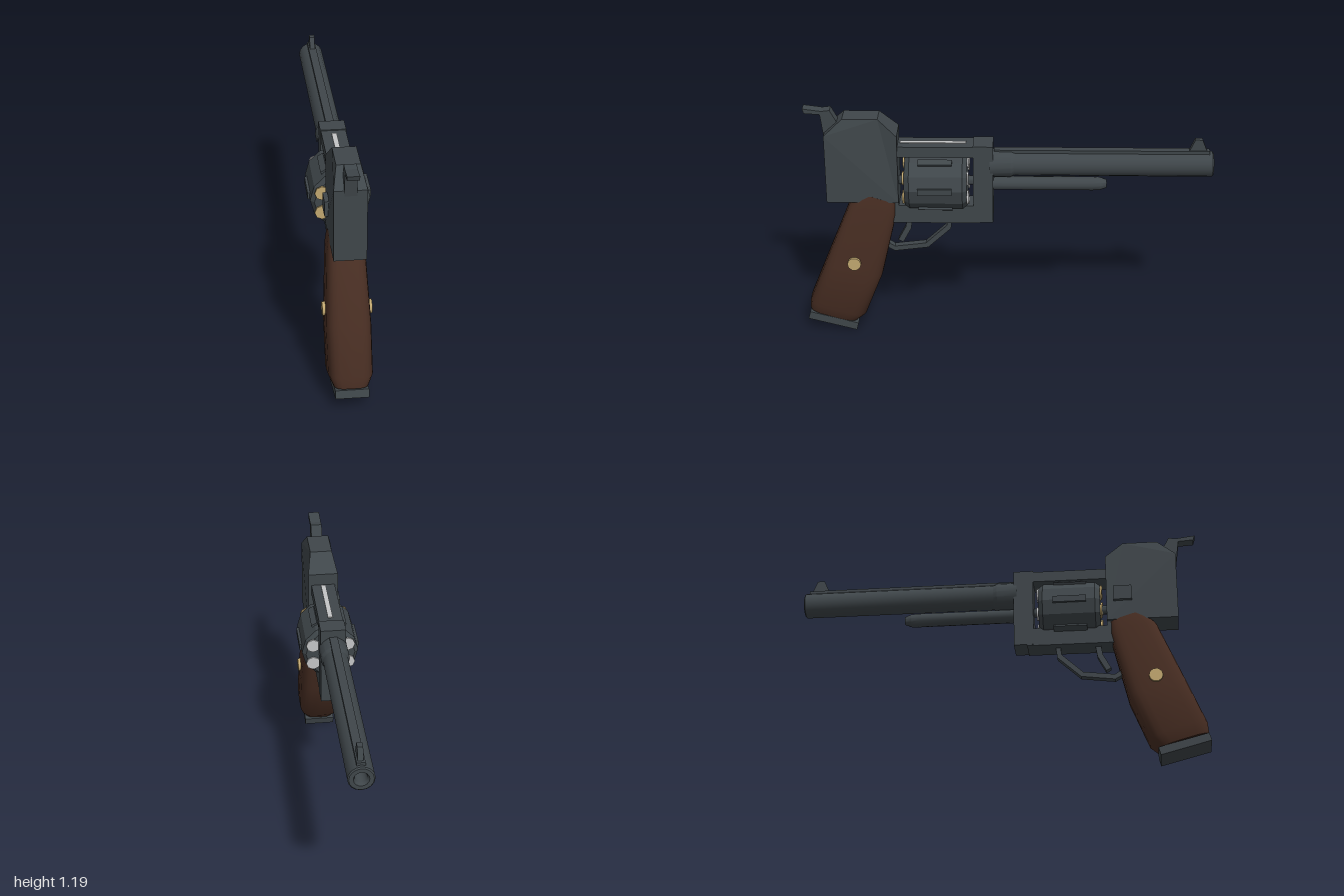
import * as THREE from 'three';
import { toCreasedNormals } from 'three/addons/utils/BufferGeometryUtils.js';

const material = (name, color) => {
  const m = new THREE.MeshStandardMaterial({ color });
  m.name = name;
  return m;
};

export function createModel() {
  const steel = material('gunmetal', 0x3f464a);
  const wood = material('walnut', 0x472d22);
  const brass = material('brass', 0xc2a870);
  const silver = material('silver', 0xc4c5c6);
  const model = new THREE.Group();
  model.name = 'revolver';

  const add = (name, geometry, mat = steel, parent = model) => {
    const mesh = new THREE.Mesh(geometry, mat);
    mesh.name = name;
    parent.add(mesh);
    return mesh;
  };
  const box = (name, x, y, z, w, h, d, mat) =>
    add(name, new THREE.BoxGeometry(w, h, d).translate(x, y, z), mat);

  // Side profile of [z, y] points, extruded evenly across x
  const plate = (points, width) => {
    const shape = new THREE.Shape(points.map(([z, y]) => new THREE.Vector2(z, y)));
    return new THREE.ExtrudeGeometry(shape, { depth: width, bevelEnabled: false })
      .translate(0, 0, -width / 2).rotateY(-Math.PI / 2);
  };
  // Turned part along z from [radius, z] points with rising z
  const turned = (points, sides, crease) => toCreasedNormals(
    new THREE.LatheGeometry(points.map(([r, z]) => new THREE.Vector2(r, z)), sides)
      .rotateX(Math.PI / 2), crease);

  // Rear frame block, narrowed at the top
  const rear = plate([[0.525, 0.72], [0.875, 0.72], [0.875, 1.07], [0.785, 1.152],
    [0.615, 1.152], [0.525, 1.07]], 0.15);
  const p = rear.attributes.position;
  for (let i = 0; i < p.count; i++) if (p.getY(i) > 1.1) p.setX(i, p.getX(i) * 0.73);
  rear.computeVertexNormals();
  add('rearFrame', rear);

  // Frame around the cylinder
  box('topStrap', 0, 0.983, 0.34, 0.118, 0.054, 0.4);
  box('frontFrame', 0, 0.812, 0.113, 0.124, 0.405, 0.097);
  add('lowerFrame', plate([[0.13, 0.604], [0.56, 0.604], [0.56, 0.72], [0.525, 0.72],
    [0.525, 0.697], [0.13, 0.697]], 0.118));
  box('sightStrip', 0, 1.011, 0.355, 0.024, 0.006, 0.32, silver);
  box('loadingGate', -0.081, 0.86, 0.605, 0.022, 0.075, 0.09);

  // Hammer
  add('hammer', plate([[0.875, 1.045], [0.9, 1.08], [0.862, 1.09], [0.893, 1.163],
    [0.968, 1.168], [0.976, 1.192], [0.885, 1.18]].slice(3).concat(
    [[0.845, 1.185], [0.8, 1.1], [0.8, 1.04], [0.878, 1.045]]).reverse(), 0.056))
    .geometry.computeVertexNormals();

  // Cylinder with raised bars, cartridges and centre pin
  const drum = new THREE.Group();
  drum.name = 'cylinder';
  drum.position.y = 0.81;
  model.add(drum);
  add('drum', turned([[0, 0.19], [0.122, 0.19], [0.14, 0.212], [0.14, 0.47],
    [0.122, 0.494], [0, 0.494]], 12, 0.4), steel, drum);
  add('centrePin', turned([[0, 0.06], [0.022, 0.06], [0.022, 0.53], [0, 0.53]], 10, 0.7), steel, drum);
  for (let i = 0; i < 6; i++) {
    const bar = new THREE.BoxGeometry(0.022, 0.032, 0.165)
      .translate(0.137, 0, 0.345).rotateZ(i * Math.PI / 3);
    add('drumBar', bar, steel, drum);
    const a = (i + 0.5) * Math.PI / 3;
    const disc = (z) => new THREE.CylinderGeometry(0.035, 0.035, 0.009, 8)
      .rotateX(Math.PI / 2).translate(0.1 * Math.cos(a), 0.1 * Math.sin(a), z);
    add('cartridgeRim', disc(0.498), brass, drum);
    add('bulletTip', disc(0.187), silver, drum);
  }

  // Barrel with an open bore, sleeve, rib and front sight
  add('barrel', turned([[0, -0.85], [0.028, -0.85], [0.028, -0.985], [0.036, -1],
    [0.056, -1], [0.062, -0.994], [0.062, 0.08]], 16, 0.5)).position.y = 0.906;
  add('barrelSleeve', turned([[0.06, -0.045], [0.07, -0.02], [0.07, 0.08]], 16, 0.5)).position.y = 0.906;
  box('barrelRib', 0, 0.967, -0.46, 0.04, 0.026, 1.04);
  add('frontSight', plate([[-0.88, 0.975], [-0.908, 1.037], [-0.943, 1.037],
    [-0.968, 0.975]].reverse(), 0.026));

  // Ejector rod housing
  add('ejectorRod', turned([[0, -0.488], [0.02, -0.488], [0.032, -0.455],
    [0.034, -0.42], [0.034, 0.08]], 12, 0.55)).position.y = 0.797;

  // Bent bars made of straight pieces through [z, y] points
  const bentBar = (name, points, width, thick) => {
    const n = points.length;
    const sides = [1, -1].map((s) => points.map(([z, y], i) => {
      const [z0, y0] = points[Math.max(i - 1, 0)];
      const [z1, y1] = points[Math.min(i + 1, n - 1)];
      const l = Math.hypot(z1 - z0, y1 - y0);
      return [z - s * (y1 - y0) / l * thick / 2, y + s * (z1 - z0) / l * thick / 2];
    }));
    add(name, plate([...sides[0], ...sides[1].reverse()], width));
  };
  bentBar('triggerGuard', [[0.28, 0.61], [0.285, 0.56], [0.395, 0.458], [0.555, 0.438],
    [0.6, 0.465]], 0.036, 0.026);
  bentBar('trigger', [[0.475, 0.62], [0.485, 0.555], [0.525, 0.48]], 0.034, 0.028);

  // Grip lofted through rounded sections: back z, y, front z, y, half width
  const sections = [
    [0.708, 0.767, 0.535, 0.712, 0.076],
    [0.768, 0.7, 0.538, 0.65, 0.088],
    [0.9, 0.38, 0.618, 0.31, 0.105],
    [0.988, 0.165, 0.708, 0.085, 0.104],
    [0.992, 0.11, 0.755, 0.042, 0.082],
  ];
  const N = 24;
  const pos = [];
  const index = [];
  const soft = (v) => Math.sign(v) * Math.abs(v) ** 0.5;
  sections.forEach(([bz, by, fz, fy, w], s) => {
    for (let i = 0; i < N; i++) {
      const a = i / N * Math.PI * 2;
      const t = soft(Math.cos(a)) / 2 + 0.5;
      pos.push(w * soft(Math.sin(a)), fy + (by - fy) * t, fz + (bz - fz) * t);
      const j = (i + 1) % N;
      if (s > 0) {
        const u = (s - 1) * N, d = s * N;
        index.push(u + i, d + i, u + j, u + j, d + i, d + j);
      }
    }
  });
  const last = (sections.length - 1) * N;
  for (let i = 1; i < N - 1; i++) {
    index.push(0, i, i + 1, last, last + i + 1, last + i);
  }
  const grip = new THREE.BufferGeometry();
  grip.setAttribute('position', new THREE.Float32BufferAttribute(pos, 3));
  grip.setIndex(index);
  add('grip', toCreasedNormals(grip, 0.75), wood);

  // Butt plate and grip medallions
  add('buttPlate', new THREE.BoxGeometry(0.155, 0.04, 0.25).rotateX(-0.26)
    .translate(0, 0.0515, 0.874));
  for (const side of [1, -1]) {
    add('gripMedallion', new THREE.CylinderGeometry(0.034, 0.034, 0.03, 10)
      .rotateZ(Math.PI / 2).translate(side * 0.1, 0.397, 0.752), brass);
  }
  return model;
}
